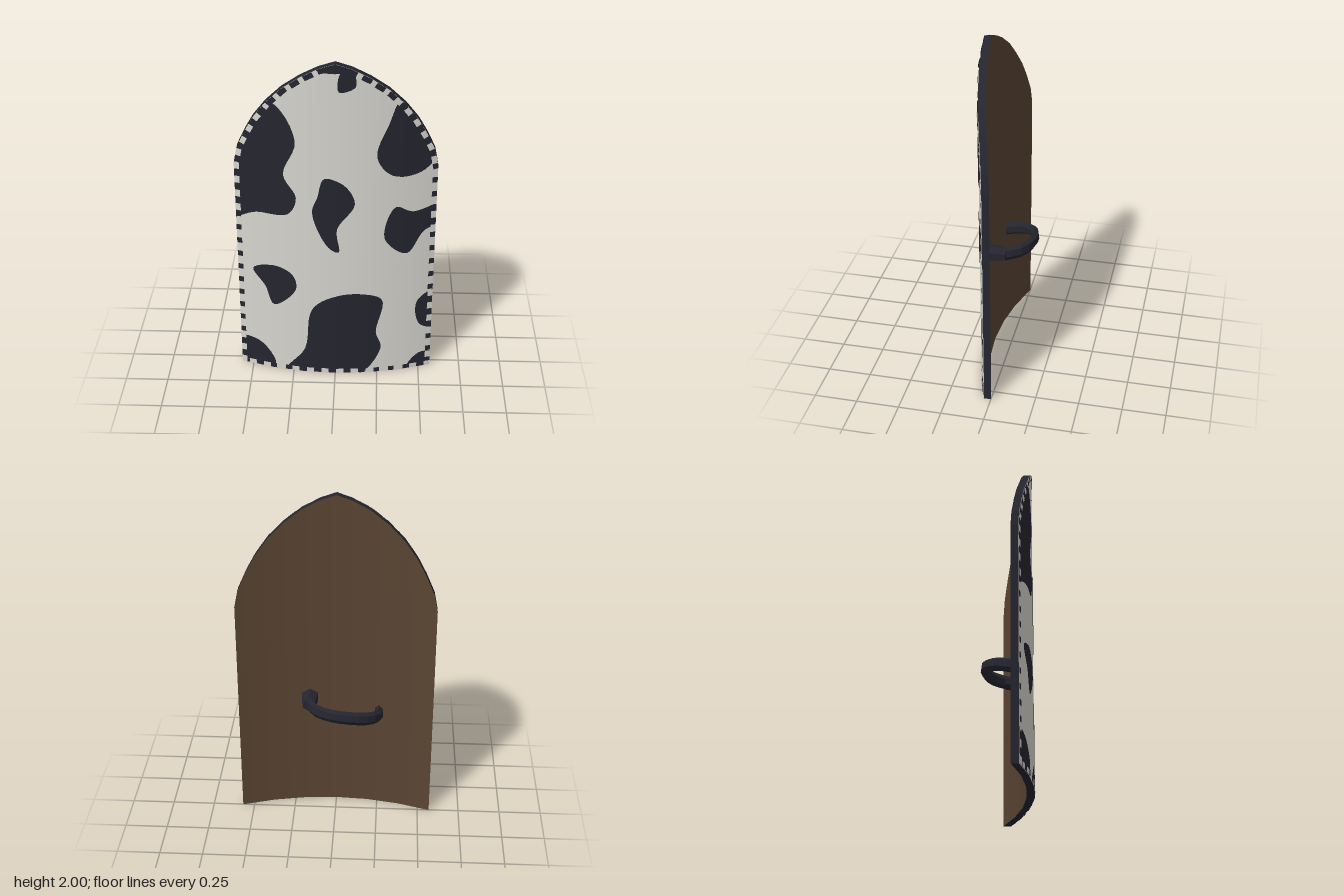
import * as THREE from 'three';

const W = 0.57, STEP = 0.19, THICK = 0.042;
const curve = (x) => 0.147 - 0.33 * x * x;
// bowed cross-section: straight facets between multiples of STEP
function bow(x) {
  const i = Math.floor(x / STEP + 1e-6), t = x / STEP - i;
  return curve(i * STEP) * (1 - t) + curve((i + 1) * STEP) * t;
}
const V = (list) => list.map(([x, y]) => new THREE.Vector2(x, y));

// keep the part of a polygon where side(p) is not negative
function clip(pts, side) {
  const out = [];
  pts.forEach((a, i) => {
    const b = pts[(i + 1) % pts.length];
    const da = side(a), db = side(b);
    if (da >= 0) out.push(a);
    if (da * db < 0) out.push(a.clone().lerp(b, da / (da - db)));
  });
  return out;
}

// trim a polygon to the inside of a convex outline
function trim(pts, outline) {
  return outline.reduce((poly, a, i) => {
    const edge = outline[(i + 1) % outline.length].clone().sub(a);
    return clip(poly, (p) => edge.cross(p.clone().sub(a)));
  }, pts);
}

// flat outlines cut into strips and laid on the bowed surface
function panel(outlines, offset, back = false) {
  const pos = [], nor = [], dir = back ? -1 : 1;
  for (const pts of outlines) {
    for (let i = -3; i < 3; i++) {
      const part = clip(clip(pts, (p) => p.x - i * STEP), (p) => (i + 1) * STEP - p.x);
      if (part.length < 3) continue;
      for (const [a, b, c] of THREE.ShapeUtils.triangulateShape(part, [])) {
        const tri = [part[a], part[b], part[c]];
        const area = THREE.ShapeUtils.area(tri);
        if (Math.abs(area) < 1e-8) continue;
        if (area * dir < 0) tri.reverse();
        for (const p of tri) {
          pos.push(p.x, p.y, bow(p.x) + offset);
          const n = new THREE.Vector3(0.66 * p.x, 0, 1).normalize().multiplyScalar(dir);
          nor.push(n.x, n.y, n.z);
        }
      }
    }
  }
  const g = new THREE.BufferGeometry();
  g.setAttribute('position', new THREE.Float32BufferAttribute(pos, 3));
  g.setAttribute('normal', new THREE.Float32BufferAttribute(nor, 3));
  return g;
}

// side wall joining the front and back faces
function wall(pts) {
  const pos = [];
  pts.forEach((a, i) => {
    const b = pts[(i + 1) % pts.length];
    const fa = [a.x, a.y, bow(a.x)], fb = [b.x, b.y, bow(b.x)];
    const ba = [a.x, a.y, fa[2] - THICK], bb = [b.x, b.y, fb[2] - THICK];
    pos.push(...fa, ...ba, ...bb, ...fa, ...bb, ...fb);
  });
  const g = new THREE.BufferGeometry();
  g.setAttribute('position', new THREE.Float32BufferAttribute(pos, 3));
  g.computeVertexNormals();
  return g;
}

// right half of the pointed arch, from shoulder to tip
const ARCH = [[W, 1.36], [0.55, 1.46], [0.5, 1.57], [0.45, 1.66], [0.38, 1.755],
  [0.29, 1.845], [0.19, 1.918], [0.09, 1.97], [0, 2]];

// control points of the smooth spots; those at the rim run past it and are trimmed
const SPOTS = [
  [[-0.66, 1.0], [-0.45, 1.07], [-0.27, 1.08], [-0.22, 1.19], [-0.29, 1.33], [-0.22, 1.54], [-0.36, 1.77], [-0.7, 1.7]],
  [[0.37, 1.8], [0.29, 1.64], [0.23, 1.45], [0.32, 1.33], [0.5, 1.35], [0.62, 1.6]],
  [[0.64, 1.13], [0.44, 1.09], [0.34, 1.13], [0.28, 0.93], [0.41, 0.82], [0.51, 0.96], [0.64, 1.0]],
  [[-0.06, 1.32], [0.05, 1.28], [0.11, 1.16], [0.01, 1.0], [0.02, 0.85], [-0.04, 0.88], [-0.13, 1.1], [-0.1, 1.2]],
  [[-0.48, 0.69], [-0.36, 0.73], [-0.25, 0.68], [-0.23, 0.58], [-0.36, 0.46], [-0.41, 0.58]],
  [[-0.3, -0.02], [-0.18, 0.17], [-0.13, 0.46], [0.05, 0.56], [0.27, 0.52], [0.24, 0.29], [0.27, 0.17], [0.1, -0.05]],
  [[-0.62, 0.18], [-0.46, 0.18], [-0.36, 0.03], [-0.5, -0.1]],
  [[0.42, -0.02], [0.5, 0.1], [0.62, 0.08], [0.6, -0.1]],
  [[0.6, 0.55], [0.48, 0.48], [0.5, 0.31], [0.6, 0.28]],
  [[0.03, 1.95], [0.02, 1.84], [0.11, 1.87], [0.09, 1.96]],
  [[-0.1, 1.96], [0.1, 1.96], [0, 2.05]],
];

export function createModel() {
  const group = new THREE.Group();
  const mat = (name, color, side = THREE.FrontSide, flatShading = false) => {
    const m = new THREE.MeshStandardMaterial({ color, side, flatShading });
    m.name = name;
    return m;
  };
  const light = mat('off white hide', 0xd8d7d1);
  const dark = mat('dark ink', 0x252530, THREE.DoubleSide, true);
  const brown = mat('brown wood', 0x5a4533);
  const add = (name, geo, material) => {
    const mesh = new THREE.Mesh(geo, material);
    mesh.name = name;
    group.add(mesh);
    return mesh;
  };

  // board
  const bottom = [-3, -2, -1, 0, 1, 2, 3].map((i) => [i * STEP, 0]);
  const leftArch = ARCH.slice(0, -1).reverse().map(([x, y]) => [-x, y]);
  const outline = V([...bottom, ...ARCH, ...leftArch]);
  add('frontFace', panel([outline], 0), light);
  add('backFace', panel([outline], -THICK, true), brown);
  add('rim', wall(outline), dark);

  // painted spots
  const spots = SPOTS.map((spot) => {
    const loop = new THREE.CatmullRomCurve3(spot.map(([x, y]) => new THREE.Vector3(x, y, 0)), true);
    const pts = loop.getPoints(spot.length * 6).slice(0, -1);
    return trim(pts.map((p) => new THREE.Vector2(p.x, p.y)), outline);
  });
  add('spots', panel(spots, 0.003), dark);

  // alternating dark and light stitches along the rim
  const path = new THREE.Path([...outline, outline[0]]);
  const count = 64;
  const tooth = (u, half) => {
    const p = path.getPointAt(u), t = path.getTangentAt(u);
    const n = new THREE.Vector2(-t.y, t.x).multiplyScalar(0.03);
    const a = p.clone().addScaledVector(t, -half), b = p.clone().addScaledVector(t, half);
    return trim([a, b, b.clone().add(n), a.clone().add(n)], outline);
  };
  const darkTeeth = [], lightTeeth = [];
  for (let i = 0; i < count; i++) {
    const u = (i + 0.25) / count, v = (i + 0.75) / count;
    const top = path.getPointAt(u).y > 1.76;
    darkTeeth.push(tooth(u, top ? 0.028 : 0.017));
    if (path.getPointAt(v).y < 1.95) lightTeeth.push(tooth(v, top ? 0.014 : 0.022));
  }
  add('darkStitches', panel(darkTeeth, 0.004), dark);
  add('lightStitches', panel(lightTeeth, 0.005), light);

  // curved grip, taller than it is thick
  const TALL = 1.7;
  const grip = new THREE.CatmullRomCurve3([
    [-0.25, 0.65, 0.09], [-0.257, 0.66, 0.03], [-0.235, 0.68, -0.035], [-0.18, 0.7, -0.09],
    [-0.1, 0.72, -0.122], [-0.02, 0.73, -0.126], [0.06, 0.735, -0.105], [0.12, 0.735, -0.06],
    [0.16, 0.73, 0.02],
  ].map(([x, y, z]) => new THREE.Vector3(x, y / TALL, z)));
  add('grip', new THREE.TubeGeometry(grip, 12, 0.024, 6).scale(1, TALL, 1), dark);

  // tapered foot holding the grip
  const foot = add('gripFoot', new THREE.CylinderGeometry(0.04, 0.056, 0.1, 6).rotateX(-Math.PI / 2), dark);
  foot.position.set(0.157, 0.73, 0.047);
  return group;
}
